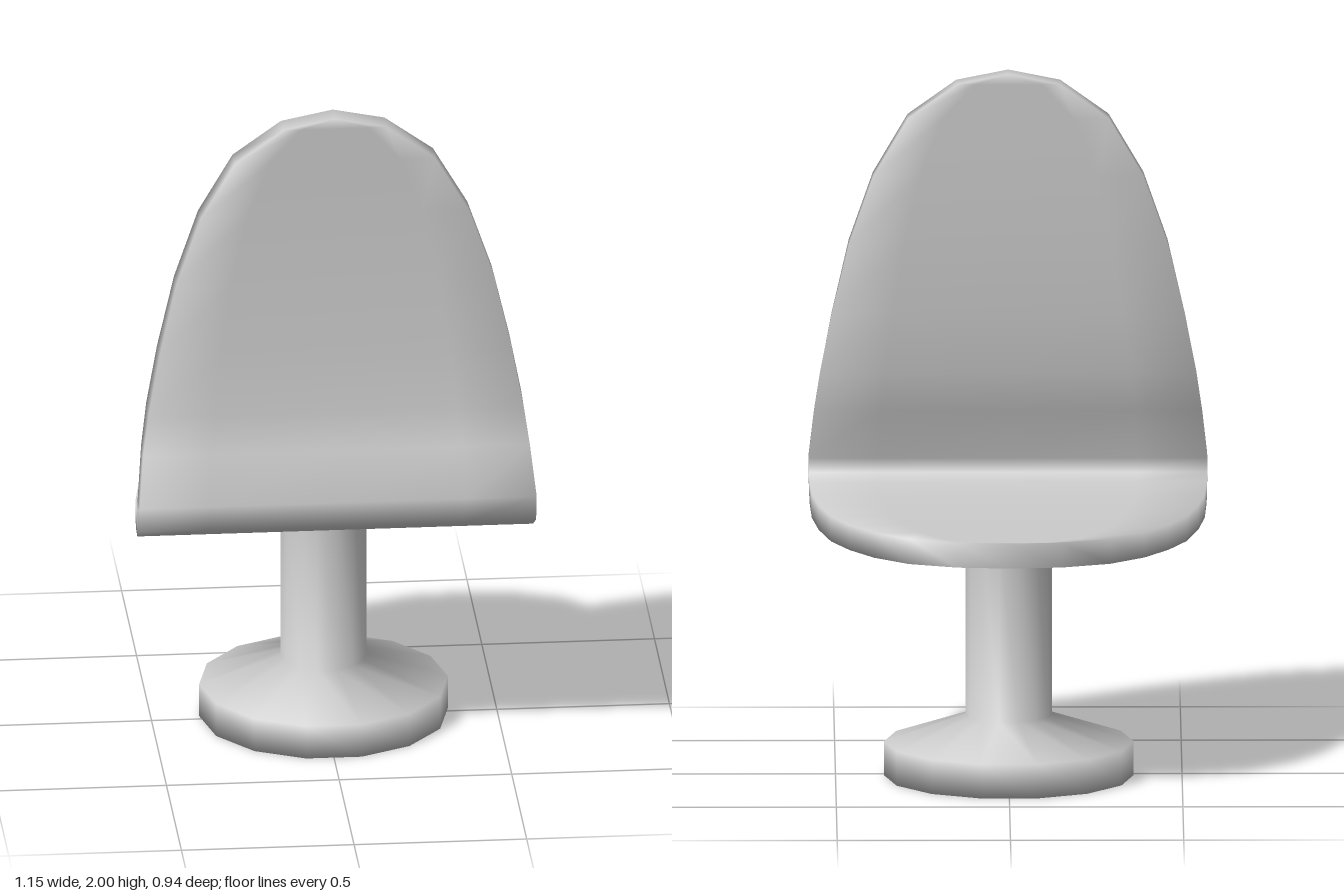
import * as THREE from 'three';
import { mergeVertices } from 'three/addons/utils/BufferGeometryUtils.js';

const material = new THREE.MeshStandardMaterial({ color: 0xcccccc });

// Stations along the shell: [outer z, outer y, inner z, inner y, half width]
const stations = [
  // backrest, from the tip down
  [0.36, 2.0, 0.285, 2.0, 0],
  [0.36, 1.97, 0.285, 1.97, 0.15],
  [0.36, 1.87, 0.285, 1.87, 0.29],
  [0.36, 1.7, 0.285, 1.7, 0.39],
  [0.365, 1.5, 0.29, 1.5, 0.46],
  [0.375, 1.28, 0.3, 1.29, 0.51],
  [0.39, 1.1, 0.318, 1.12, 0.543],
  [0.412, 0.99, 0.345, 1.0, 0.56],
  // bend
  [0.47, 0.85, 0.4, 0.85, 0.575],
  [0.45, 0.77, 0.39, 0.81, 0.575],
  [0.37, 0.725, 0.345, 0.79, 0.573],
  // seat, out to its rounded end
  [0.25, 0.704, 0.23, 0.777, 0.567],
  [0.1, 0.698, 0.1, 0.77, 0.548],
  [-0.06, 0.695, -0.06, 0.768, 0.513],
  [-0.19, 0.695, -0.19, 0.768, 0.46],
  [-0.305, 0.695, -0.305, 0.768, 0.39],
  [-0.4, 0.695, -0.4, 0.768, 0.29],
  [-0.455, 0.695, -0.455, 0.768, 0.15],
  [-0.47, 0.695, -0.47, 0.768, 0],
];

// One bent sheet: a flat closed ring per station, joined and capped
function shellGeometry() {
  const columns = [-1, -0.65, 0, 0.65, 1];
  const n = columns.length * 2;
  const positions = [];
  const index = [];
  for (const [oz, oy, iz, iy, w] of stations) {
    for (const u of columns) positions.push(u * w, iy, iz);
    for (const u of columns) positions.push(-u * w, oy, oz);
  }
  for (let i = 0; i < stations.length - 1; i++) {
    for (let j = 0; j < n; j++) {
      const k = (j + 1) % n;
      const a = i * n + j, b = i * n + k, c = b + n, d = a + n;
      index.push(a, b, c, a, c, d);
    }
  }
  const raw = new THREE.BufferGeometry();
  raw.setAttribute('position', new THREE.Float32BufferAttribute(positions, 3));
  raw.setIndex(index);
  const geometry = mergeVertices(raw);
  geometry.computeVertexNormals();
  return geometry;
}

// Pedestal turned from a profile: disc foot, sloped shoulder, post
function pedestalGeometry() {
  const profile = [[0, 0], [0.36, 0], [0.36, 0.1], [0.125, 0.18], [0.125, 0.72]]
    .map(([r, y]) => new THREE.Vector2(r, y));
  return new THREE.LatheGeometry(profile, 14, Math.PI / 2);
}

export function createModel() {
  const group = new THREE.Group();
  group.name = 'pedestalChair';

  const shell = new THREE.Mesh(shellGeometry(), material);
  shell.name = 'seatAndBackrest';
  group.add(shell);

  const pedestal = new THREE.Mesh(pedestalGeometry(), material);
  pedestal.name = 'pedestal';
  pedestal.position.z = -0.022;
  group.add(pedestal);

  return group;
}
